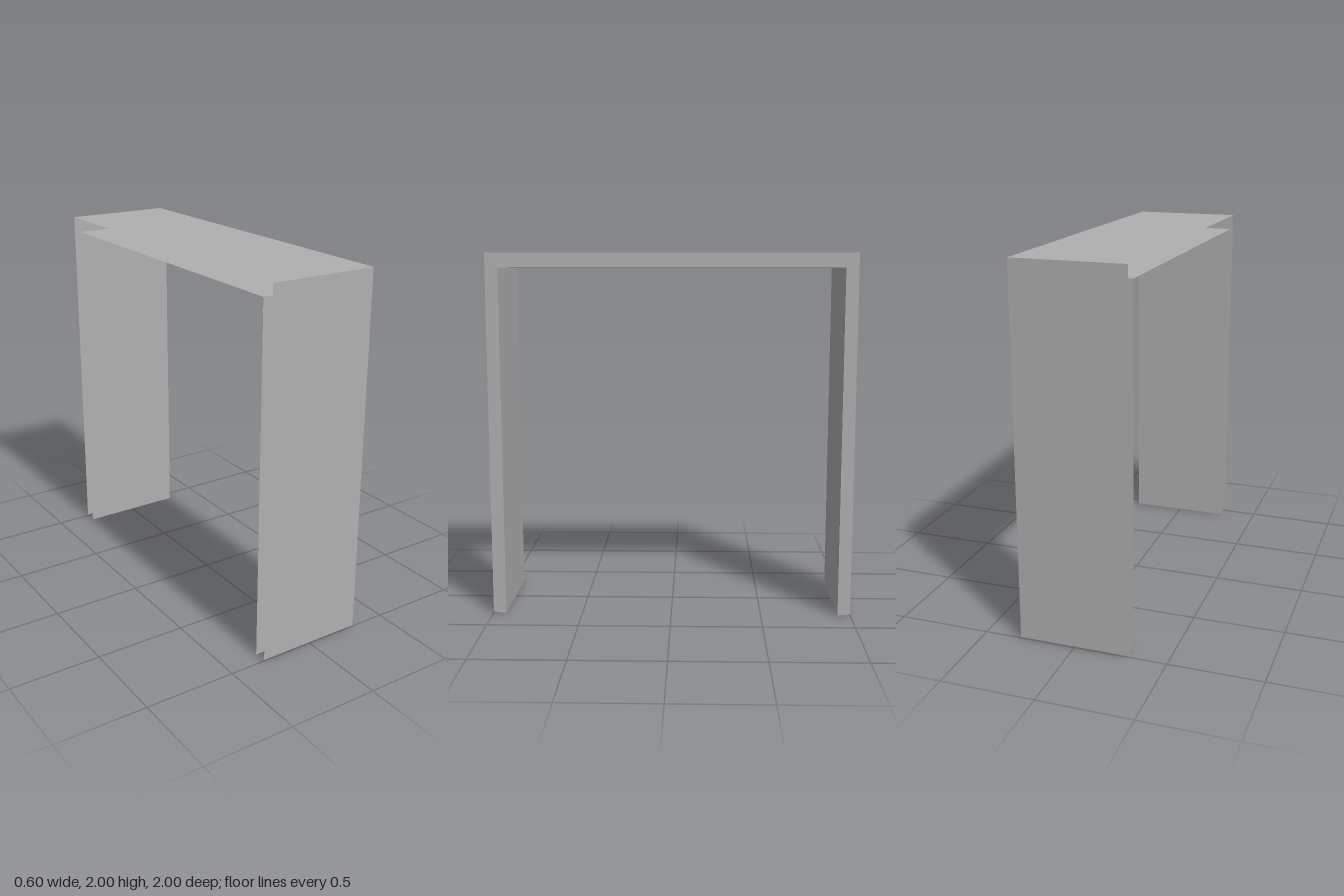
import * as THREE from 'three';

export function createModel() {
  const model = new THREE.Group();
  const grey = new THREE.MeshStandardMaterial({ color: 0xb0b0b0, side: THREE.DoubleSide });
  grey.name = 'light grey';

  const width = 0.6, lip = 0.006;
  // Arch outlines as [z, y]: the outer skin stops just above the inner one
  const outer = [[1, lip], [1, 2], [-1, 2], [-1, lip]];
  const inner = [[0.93, 0], [0.93, 1.922], [-0.93, 1.922], [-0.93, 0]];

  const add = (geometry, name) => {
    const mesh = new THREE.Mesh(geometry, grey);
    mesh.name = name;
    model.add(mesh);
    return mesh;
  };

  // One flat sheet spanning the width between two outline points
  const addPanel = ([z0, y0], [z1, y1], flip, name) => {
    const w = flip ? -width / 2 : width / 2;
    const geometry = new THREE.BufferGeometry();
    geometry.setAttribute('position', new THREE.Float32BufferAttribute(
      [-w, y0, z0, w, y0, z0, w, y1, z1, -w, y1, z1], 3));
    geometry.setIndex([0, 1, 2, 0, 2, 3]);
    geometry.computeVertexNormals();
    add(geometry, name);
  };

  // Outer and inner skins; the feet and the -x side stay open
  ['frontLeg', 'top', 'backLeg'].forEach((part, i) => {
    addPanel(outer[i], outer[i + 1], false, part + 'OuterPanel');
    addPanel(inner[i], inner[i + 1], true, part + 'InnerPanel');
  });

  // Closed edge of the arch on the +x side
  const outline = [...outer, ...inner.slice().reverse()];
  const shape = new THREE.Shape(outline.map(([z, y]) => new THREE.Vector2(-z, y)));
  const edge = add(new THREE.ShapeGeometry(shape), 'sideEdge');
  edge.rotation.y = Math.PI / 2;
  edge.position.x = width / 2;

  return model;
}
